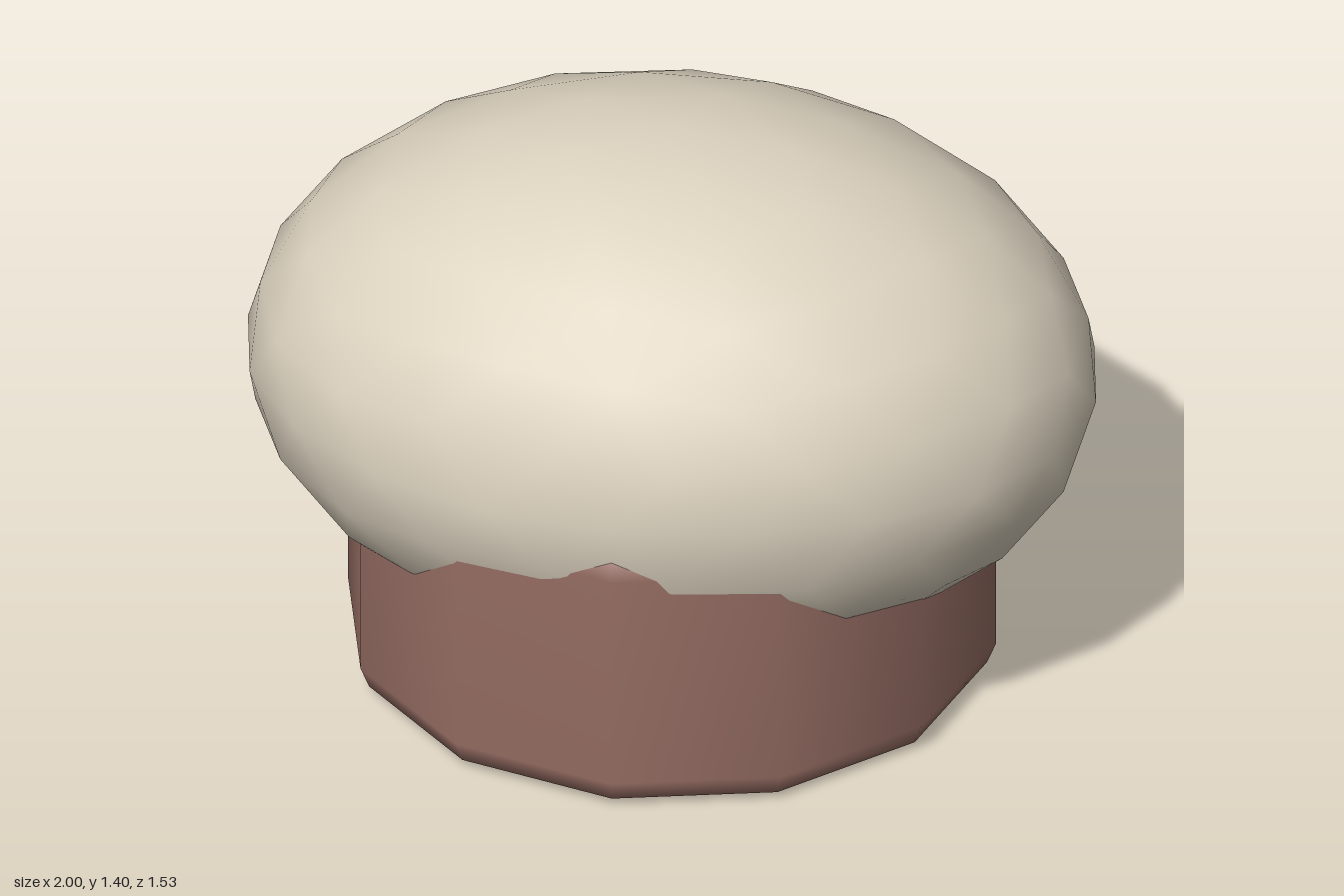
import * as THREE from 'three';
import { mergeVertices } from 'three/addons/utils/BufferGeometryUtils.js';

// Icosphere with a vertex at the top, each edge halved `levels` times
function icosphere(levels) {
  const ring = (lat, start) => Array.from({ length: 5 }, (_, i) => {
    const a = start + (i * Math.PI * 2) / 5;
    return new THREE.Vector3(Math.cos(lat) * Math.cos(a), Math.sin(lat), Math.cos(lat) * Math.sin(a));
  });
  const lat = Math.atan(0.5);
  const upper = ring(lat, 0);
  const lower = ring(-lat, Math.PI / 5);
  const top = new THREE.Vector3(0, 1, 0);
  const bottom = new THREE.Vector3(0, -1, 0);

  let faces = [];
  for (let i = 0; i < 5; i++) {
    const j = (i + 1) % 5;
    faces.push(
      [top, upper[j], upper[i]],
      [upper[i], upper[j], lower[i]],
      [lower[i], upper[j], lower[j]],
      [bottom, lower[i], lower[j]],
    );
  }
  const mid = (a, b) => a.clone().add(b).normalize();
  for (let n = 0; n < levels; n++) {
    faces = faces.flatMap(([a, b, c]) => {
      const ab = mid(a, b), bc = mid(b, c), ca = mid(c, a);
      return [[a, ab, ca], [ab, b, bc], [ca, bc, c], [ab, bc, ca]];
    });
  }
  const geometry = new THREE.BufferGeometry().setFromPoints(faces.flat());
  return mergeVertices(geometry, 1e-4);
}

export function createModel() {
  const cream = new THREE.MeshStandardMaterial({ color: 0xdcd2bf });
  cream.name = 'cream';
  const brown = new THREE.MeshStandardMaterial({ color: 0x946c62 });
  brown.name = 'brown';

  const model = new THREE.Group();
  model.name = 'mushroom';
  const add = (name, geometry, material, parent = model) => {
    const mesh = new THREE.Mesh(geometry, material);
    mesh.name = name;
    parent.add(mesh);
    return mesh;
  };

  // Wide rounded cap
  const capGeometry = icosphere(2);
  capGeometry.scale(1, 0.634, 0.766);
  capGeometry.translate(0, 0.766, 0);
  capGeometry.computeVertexNormals();
  add('cap', capGeometry, cream);

  // Twelve-sided base with bevelled rims
  const base = new THREE.Group();
  base.name = 'base';
  model.add(base);
  const height = 0.7;
  const rim = [[0.695, 0], [0.743, 0.022], [0.764, 0.075]];
  const profile = [
    ...rim.map(([r, y]) => new THREE.Vector2(r, y)),
    ...rim.slice().reverse().map(([r, y]) => new THREE.Vector2(r, height - y)),
  ];
  add('baseWall', new THREE.LatheGeometry(profile, 12), brown, base);

  // Flat ends of the base
  for (const side of [-1, 1]) {
    const end = new THREE.CircleGeometry(rim[0][0], 12);
    end.rotateX((-side * Math.PI) / 2);
    end.translate(0, side > 0 ? height : 0, 0);
    add(side > 0 ? 'baseTop' : 'baseBottom', end, brown, base);
  }

  return model;
}
